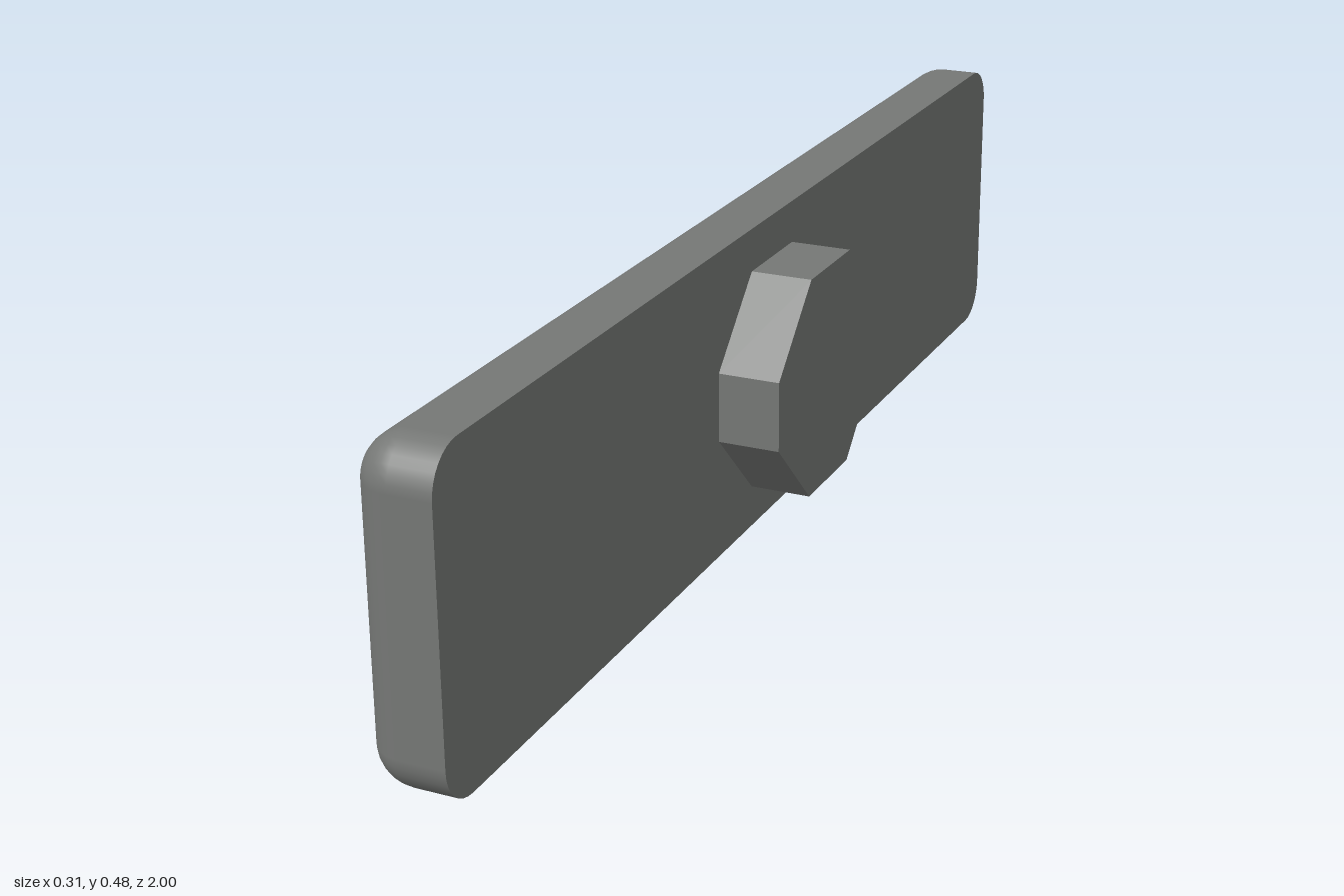
import * as THREE from 'three';

const LENGTH = 2.002, HEIGHT = 0.48, THICK = 0.125, RADIUS = 0.0625;

// Slab with a flat face at x = 0 and all edges rounded over towards -x,
// lofted through rounded-rectangle rings in the y-z plane.
function slabGeometry() {
  const arc = 8;
  // Ring directions: each corner is a quarter turn around its own centre.
  const ring = [];
  for (const [q, sy, sz] of [[0, 1, 1], [1, -1, 1], [2, -1, -1], [3, 1, -1]]) {
    for (let i = 0; i <= arc; i++) {
      const a = (q + i / arc) * Math.PI / 2;
      ring.push({
        cy: sy * (HEIGHT / 2 - RADIUS), cz: sz * (LENGTH / 2 - RADIUS),
        dy: Math.cos(a), dz: Math.sin(a),
      });
    }
  }
  // Rows: x, corner radius, spread of corner centres, normal along x and outward.
  const rows = [
    { x: 0, r: 0, s: 0, nx: 1, nr: 0 },
    { x: 0, r: RADIUS, s: 1, nx: 1, nr: 0 },
    { x: 0, r: RADIUS, s: 1, nx: 0, nr: 1 },
  ];
  for (let i = 0; i <= arc; i++) {
    const a = i / arc * Math.PI / 2, c = Math.cos(a), s = Math.sin(a);
    rows.push({ x: -(THICK - RADIUS) - RADIUS * s, r: RADIUS * c, s: 1, nx: -s, nr: c });
  }
  rows.push({ x: -THICK, r: 0, s: 0, nx: -1, nr: 0 });

  const position = [], normal = [], index = [], n = ring.length;
  rows.forEach((row, j) => {
    ring.forEach((p, i) => {
      position.push(row.x, p.cy * row.s + p.dy * row.r, p.cz * row.s + p.dz * row.r);
      normal.push(row.nx, p.dy * row.nr, p.dz * row.nr);
      if (j === rows.length - 1 || j === 1) return; // row 1 to 2 is the sharp edge
      const k = (i + 1) % n;
      const a = j * n + i, b = a + n, d = j * n + k, c = d + n;
      index.push(a, b, d, b, c, d);
    });
  });
  const geometry = new THREE.BufferGeometry();
  geometry.setAttribute('position', new THREE.Float32BufferAttribute(position, 3));
  geometry.setAttribute('normal', new THREE.Float32BufferAttribute(normal, 3));
  geometry.setIndex(index);
  return geometry;
}

// Eight-sided boss: a rectangle with cut corners, extruded along +x.
function bossGeometry() {
  const w = 0.197, h = 0.174, cut = 0.12;
  const outline = [
    [w, -h + cut], [w, h - cut], [w - cut, h], [-w + cut, h],
    [-w, h - cut], [-w, -h + cut], [-w + cut, -h], [w - cut, -h],
  ].map(([x, y]) => new THREE.Vector2(x, y));
  const geometry = new THREE.ExtrudeGeometry(new THREE.Shape(outline), { depth: 0.0955, bevelEnabled: false });
  return geometry.rotateY(Math.PI / 2);
}

export function createModel() {
  const material = new THREE.MeshStandardMaterial({ color: 0x757775 });
  const model = new THREE.Group();
  model.name = 'handlePlate';

  // Everything is turned slightly about the vertical axis
  const body = new THREE.Group();
  body.name = 'body';
  body.position.set(0.046, HEIGHT / 2, 0.001);
  body.rotation.y = -0.083;
  model.add(body);

  const plate = new THREE.Mesh(slabGeometry(), material);
  plate.name = 'plate';
  const boss = new THREE.Mesh(bossGeometry(), material);
  boss.name = 'octagonalBoss';
  body.add(plate, boss);
  return model;
}
